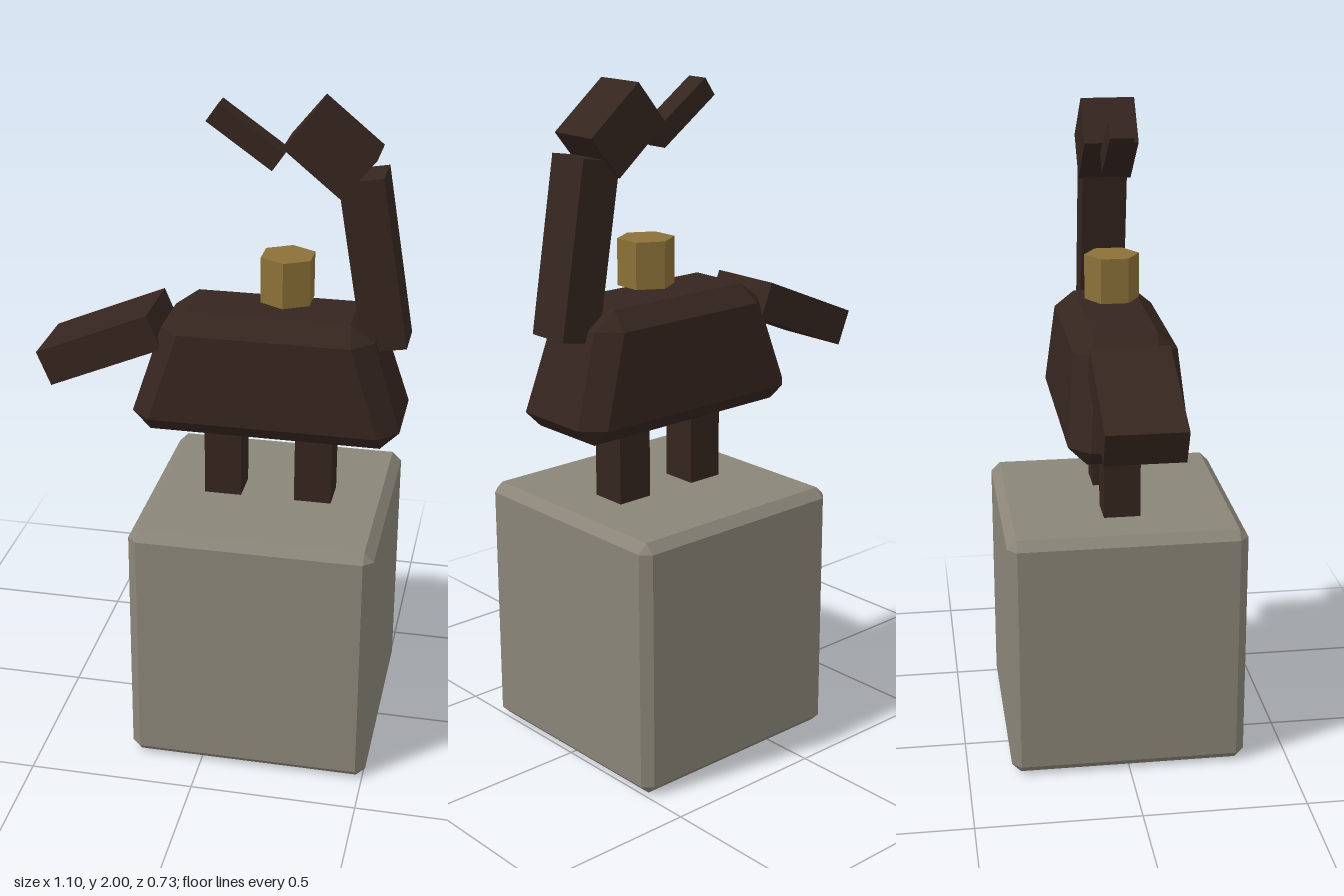
import * as THREE from 'three';

const stone = new THREE.MeshStandardMaterial({ color: 0x8a8578, flatShading: true, side: THREE.DoubleSide });
const bark = new THREE.MeshStandardMaterial({ color: 0x35251f, flatShading: true, side: THREE.DoubleSide });
const gold = new THREE.MeshStandardMaterial({ color: 0x8c7138, flatShading: true });

// Chamfered block with an open underside, lofted through rings of
// [y, half width, half depth, corner cut]
function chamferedBlock(rings) {
  const corners = rings.map(([y, w, d, c]) => [
    [w, d - c], [w - c, d], [c - w, d], [-w, d - c],
    [-w, c - d], [c - w, -d], [w - c, -d], [w, c - d],
  ].map(([x, z]) => [x, y, z]));
  const pos = [];
  const same = (p, q) => p.every((v, i) => v === q[i]);
  const tri = (a, b, c) => {
    if (!same(a, b) && !same(b, c) && !same(a, c)) pos.push(...a, ...b, ...c);
  };
  for (let r = 0; r < corners.length - 1; r++) {
    const lo = corners[r], hi = corners[r + 1];
    for (let i = 0; i < 8; i++) {
      const j = (i + 1) % 8;
      tri(lo[i], hi[i], lo[j]);
      tri(lo[j], hi[i], hi[j]);
    }
  }
  const top = corners[corners.length - 1];
  for (let i = 1; i < 7; i++) tri(top[0], top[i + 1], top[i]);
  const geo = new THREE.BufferGeometry();
  geo.setAttribute('position', new THREE.Float32BufferAttribute(pos, 3));
  geo.computeVertexNormals();
  return geo;
}

export function createModel() {
  const model = new THREE.Group();
  const add = (name, geo, mat, x, y, tilt = 0) => {
    const mesh = new THREE.Mesh(geo, mat);
    mesh.name = name;
    mesh.position.set(x, y, 0);
    mesh.rotation.z = tilt;
    model.add(mesh);
  };
  const box = (name, w, h, d, x, y, tilt) =>
    add(name, new THREE.BoxGeometry(w, h, d), bark, x, y, tilt);

  // Pedestal
  add('pedestal', chamferedBlock([
    [0, 0.337, 0.337, 0], [0.028, 0.365, 0.365, 0.028],
    [0.749, 0.365, 0.365, 0.028], [0.777, 0.337, 0.337, 0],
  ]), stone, 0.143, 0);

  // Tapered body
  add('body', chamferedBlock([
    [1.01, 0.345, 0.125, 0], [1.063, 0.4, 0.18, 0.06],
    [1.328, 0.315, 0.155, 0.06], [1.38, 0.243, 0.095, 0],
  ]), bark, 0.143, 0);

  // Legs, one behind the other
  [['frontLeg', 0.282], ['backLeg', 0.005]].forEach(([name, x]) =>
    box(name, 0.113, 0.26, 0.113, x, 0.907));

  // Neck, head, beak and tail
  box('neck', 0.129, 0.51, 0.138, 0.442, 1.548, 0.167);
  box('head', 0.218, 0.154, 0.162, 0.311, 1.873, -0.685);
  box('beak', 0.233, 0.063, 0.07, 0.064, 1.894, -0.61);
  box('tail', 0.371, 0.112, 0.234, -0.361, 1.243, 0.4);

  // Hexagonal ornament above the back
  add('ornament', new THREE.CylinderGeometry(0.084, 0.084, 0.138, 6), gold, 0.186, 1.476);

  return model;
}
